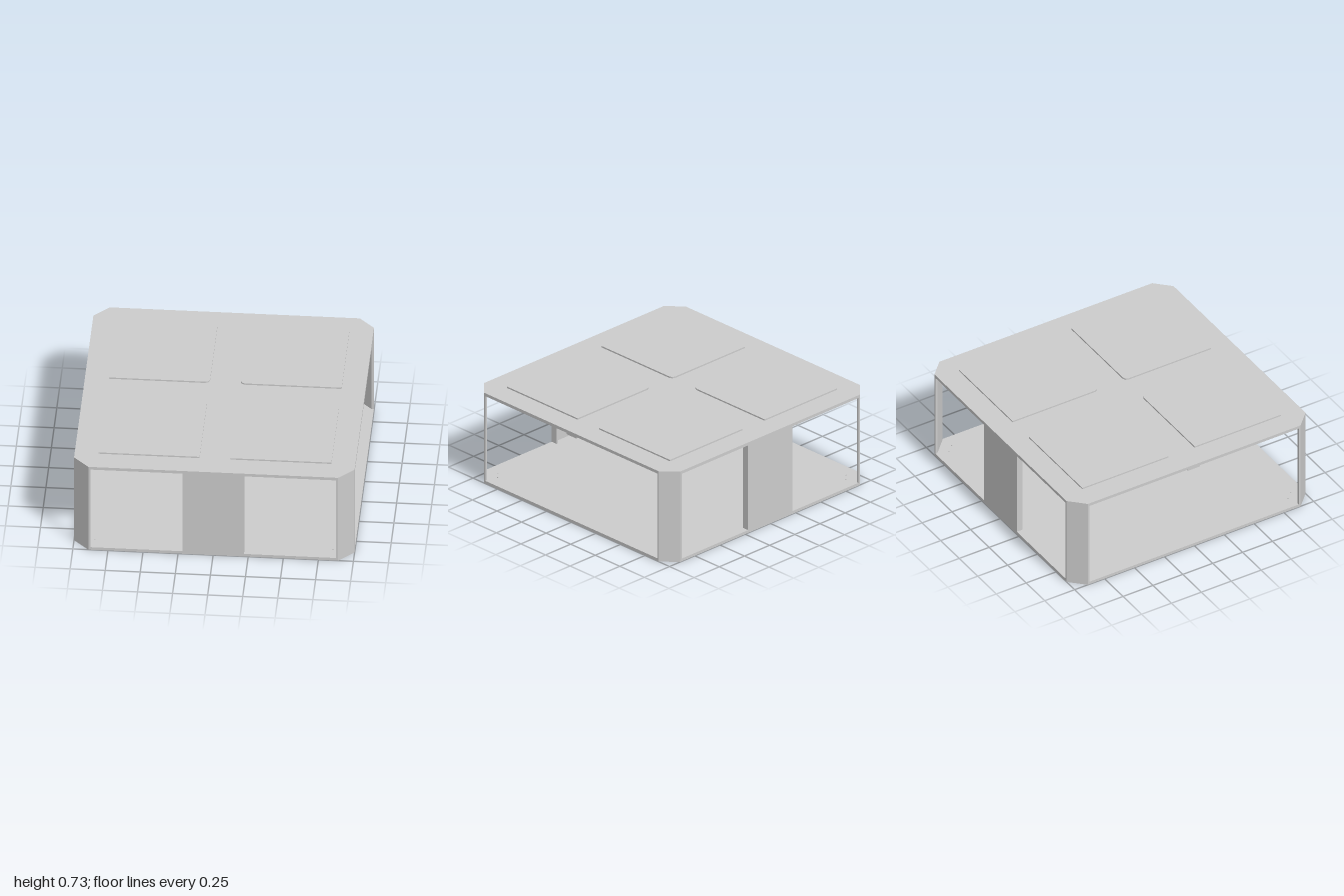
import * as THREE from 'three';

const material = new THREE.MeshStandardMaterial({ color: 0xcccccc, flatShading: true, side: THREE.DoubleSide });
const H = 0.715, CUT = 0.89, PANEL = 0.22;

function add(parent, name, geometry, x = 0, y = 0, z = 0) {
  const mesh = new THREE.Mesh(geometry, material);
  mesh.name = name;
  mesh.position.set(x, y, z);
  parent.add(mesh);
  return mesh;
}

// Square outline with four cut corners
function octagon(inset = 0) {
  const a = 1 - inset, c = CUT - inset * 0.41;
  return [[c, -a], [a, -c], [a, c], [c, a], [-c, a], [-a, c], [-a, -c], [-c, -a]]
    .map(([x, z]) => new THREE.Vector2(x, z));
}

// Pad outline in one quadrant, its inner corner clipped; turned by quarter turns
function padOutline(turn, lo, hi, clip) {
  const p = [[lo + clip, lo], [hi, lo], [hi, hi], [lo, hi], [lo, lo + clip], [lo + clip * 0.3, lo + clip * 0.3]];
  return p.map(([x, y]) => new THREE.Vector2(x, y).rotateAround(new THREE.Vector2(), turn * Math.PI / 2));
}

// Horizontal slab from an outline, between two heights
function slab(points, y0, y1, holes = []) {
  const shape = new THREE.Shape(points);
  for (const h of holes) shape.holes.push(new THREE.Path(h));
  const g = new THREE.ExtrudeGeometry(shape, { depth: y1 - y0, bevelEnabled: false });
  g.rotateX(-Math.PI / 2);
  g.translate(0, y0, 0);
  return g;
}

export function createModel() {
  const model = new THREE.Group();
  model.name = 'displayCounter';
  const turns = [0, 1, 2, 3];

  // Plates: floor, top and a thin ceiling liner that leaves the pads open
  add(model, 'floorPlate', slab(octagon(), 0, 0.022));
  add(model, 'topPlate', slab(octagon(), 0.692, H));
  add(model, 'ceilingLiner', slab(octagon(0.015), 0.682, 0.692, turns.map(t => padOutline(t, 0.11, 0.83, 0.03))));

  // Cross ribs under the top
  add(model, 'ceilingRibAcross', new THREE.BoxGeometry(1.998, 0.014, 0.1), 0, 0.687, 0);
  add(model, 'ceilingRibAlong', new THREE.BoxGeometry(0.1, 0.014, 1.96), 0, 0.687, 0);

  // Raised pads, one per quadrant
  for (const t of turns) add(model, 'topPad', slab(padOutline(t, 0.11, 0.83, 0.03), H - 0.005, 0.726));

  // Corner panels across the cut corners, with bolts on the floor inside
  for (const t of turns) {
    const corner = new THREE.Group();
    corner.name = 'corner';
    corner.rotation.y = t * Math.PI / 2;
    model.add(corner);
    const outer = [[1, CUT], [CUT, 1], [CUT - 0.015, 1], [CUT - 0.015, 0.985], [0.985, CUT - 0.015], [1, CUT - 0.015]];
    add(corner, 'cornerPanel', slab(outer.map(([x, z]) => new THREE.Vector2(x, z)), 0, H));
    for (const [x, z] of [[0.9, 0.85], [0.85, 0.9]])
      add(corner, 'floorBolt', new THREE.CylinderGeometry(0.005, 0.005, 0.006, 8), x, 0.024, z);
  }

  // Middle panels at front and back: a sheet with folded side flanges
  for (const s of [1, -1]) {
    const panel = new THREE.Group();
    panel.name = s > 0 ? 'frontPanel' : 'backPanel';
    model.add(panel);
    add(panel, 'panelSheet', new THREE.BoxGeometry(PANEL * 2, H, 0.015), 0, H / 2, s * 0.9925);
    for (const side of [1, -1])
      add(panel, 'panelFlange', new THREE.BoxGeometry(0.015, 0.67, 0.035), side * (PANEL - 0.0075), 0.352, s * 0.9675);
  }
  return model;
}
